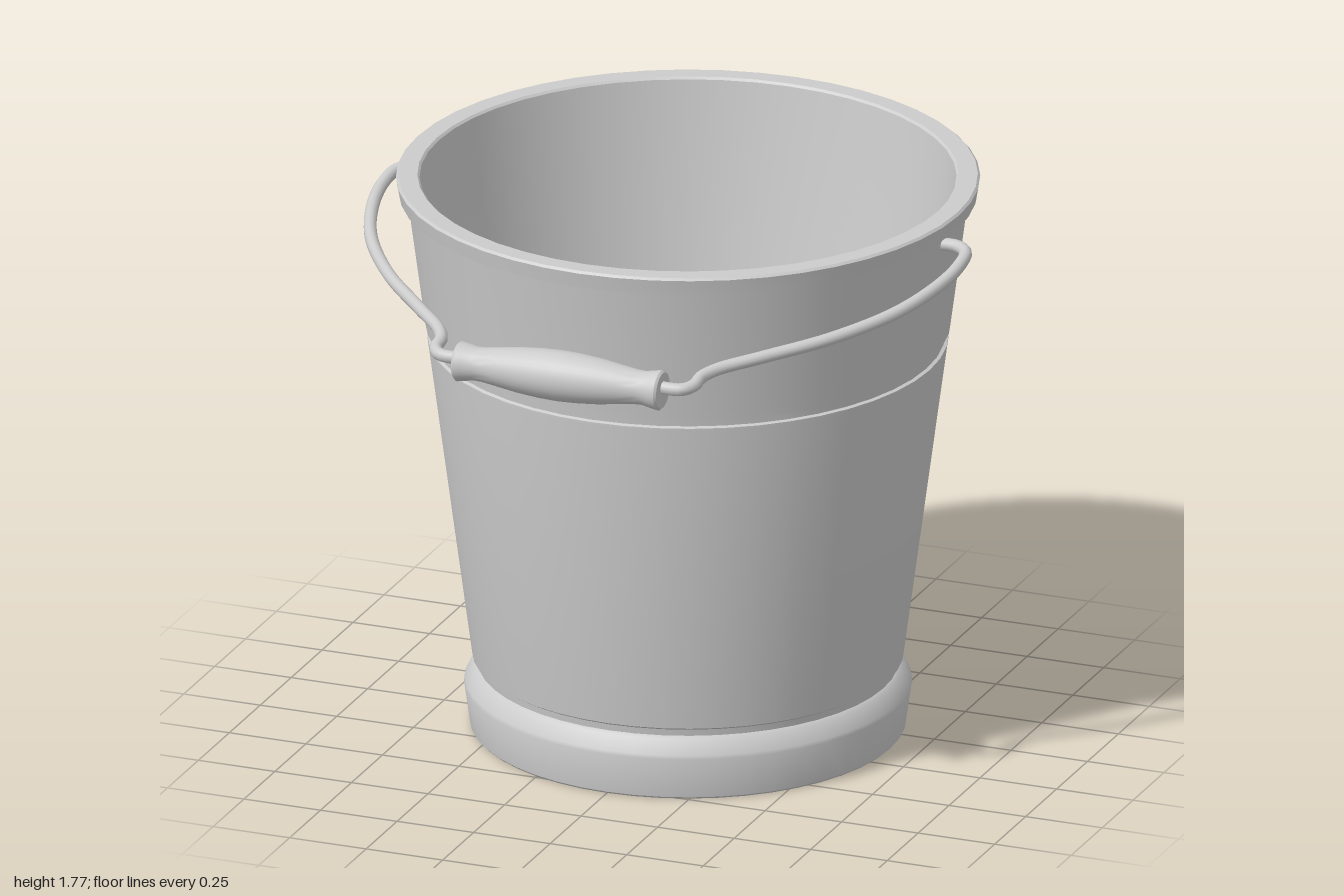
import * as THREE from 'three';
import { toCreasedNormals } from 'three/addons/utils/BufferGeometryUtils.js';

const material = new THREE.MeshStandardMaterial({ color: 0xcccccc });

// Turned part from [radius, height] pairs, with sharp edges kept
function turned(name, profile, sides) {
  const points = profile.map(([r, y]) => new THREE.Vector2(r, y));
  const geometry = toCreasedNormals(new THREE.LatheGeometry(points, sides), 0.6);
  const mesh = new THREE.Mesh(geometry, material);
  mesh.name = name;
  return mesh;
}

export function createModel() {
  const model = new THREE.Group();
  model.name = 'bucket';

  // Bucket: base ring, grooved tapering wall, rim, then the inside down to the floor
  const body = turned('bucketBody', [
    [0, 0], [0.655, 0], [0.661, 0.006], [0.679, 0.135], [0.675, 0.146], [0.65, 0.19],
    [0.638, 0.197], [0.641, 0.218], [0.654, 0.226],
    [0.789, 1.245], [0.789, 1.252], [0.779, 1.256], [0.783, 1.29], [0.796, 1.294], [0.797, 1.302],
    [0.852, 1.716], [0.877, 1.72], [0.885, 1.768], [0.878, 1.775],
    [0.82, 1.775], [0.813, 1.768],
    [0.6, 0.17], [0.588, 0.125], [0.56, 0.1], [0.52, 0.093], [0, 0.093],
  ], 48);
  body.position.z = -0.115;
  model.add(body);

  // Bail: one tilted wire per side, running from the wall into the grip
  const tilt = (z) => 1.68 - 0.18 * (z + 0.085);
  const path = [
    [0.83, -0.085], [0.89, -0.085], [0.928, -0.06], [0.94, 0.02], [0.922, 0.15], [0.855, 0.33],
    [0.72, 0.52], [0.56, 0.675], [0.455, 0.775], [0.425, 0.83], [0.422, 0.88],
    [0.395, 0.914], [0.3, 0.917],
  ];
  for (const side of [1, -1]) {
    const curve = new THREE.CatmullRomCurve3(
      path.map(([x, z]) => new THREE.Vector3(side * x, tilt(z), z)));
    const wire = new THREE.Mesh(new THREE.TubeGeometry(curve, 80, 0.02, 12), material);
    wire.name = side > 0 ? 'leftHandleWire' : 'rightHandleWire';
    model.add(wire);
  }

  // Grip: swollen in the middle, with a collar at each end
  const half = [
    [0, 0.335], [0.056, 0.335], [0.062, 0.328], [0.058, 0.305], [0.052, 0.275],
    [0.053, 0.25], [0.06, 0.2], [0.07, 0.13], [0.076, 0.06],
  ];
  const grip = turned('handleGrip', [
    ...half.map(([r, y]) => [r, -y]), [0.078, 0], ...half.slice().reverse(),
  ], 32);
  grip.rotation.z = Math.PI / 2;
  grip.position.set(0, 1.49, 0.918);
  model.add(grip);

  return model;
}
